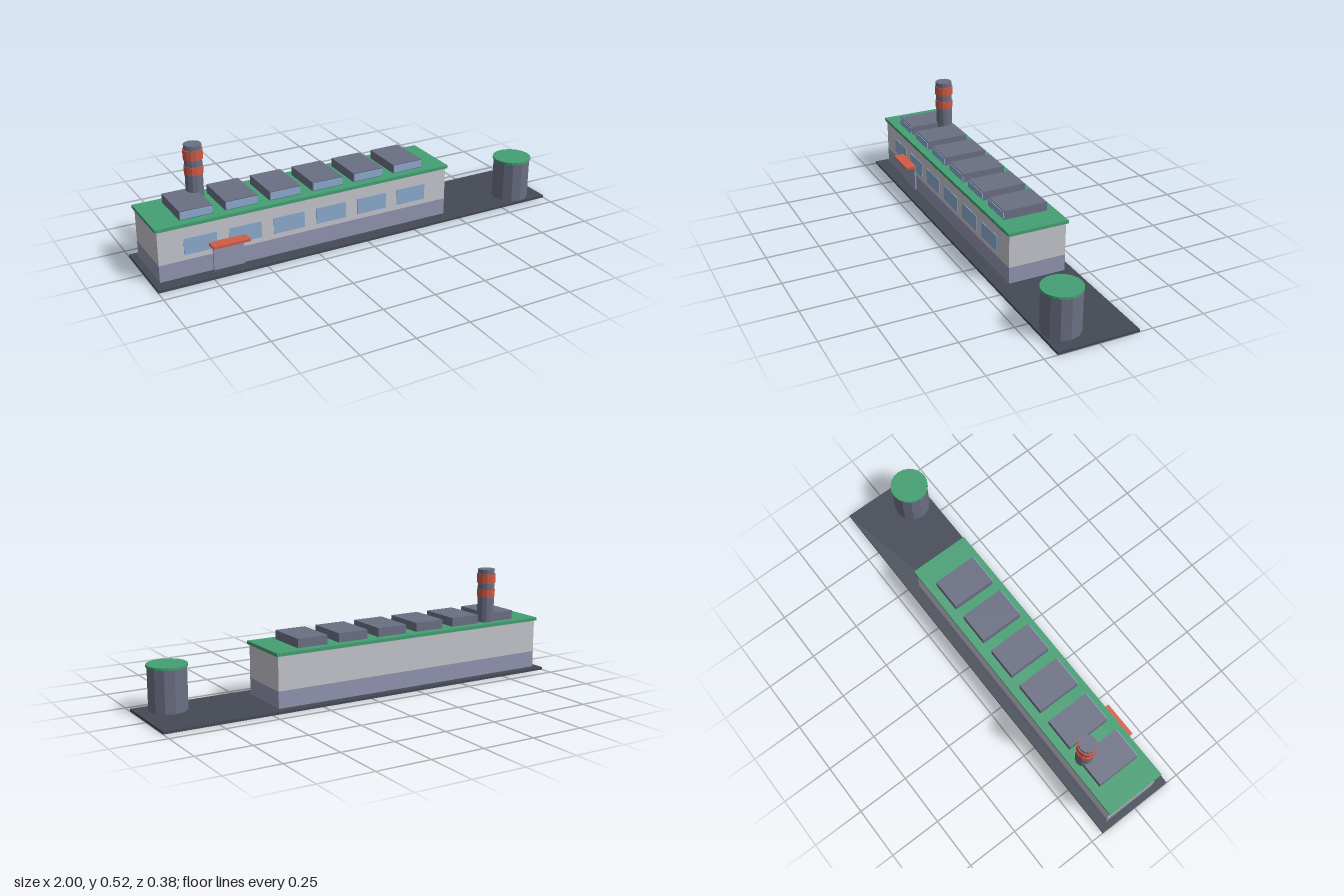
import * as THREE from 'three';

const mat = (name, color) => {
  const m = new THREE.MeshStandardMaterial({ color, flatShading: true });
  m.name = name;
  return m;
};

export function createModel() {
  const group = new THREE.Group();
  const asphalt = mat('asphalt', 0x454955);
  const wall = mat('wall', 0xc3c3cc);
  const plinth = mat('plinth', 0x9094b0);
  const green = mat('green roof', 0x459f73);
  const metal = mat('grey metal', 0x6b6f83);
  const glass = mat('glass', 0x8aaacd);
  const red = mat('red', 0xcf5b47);

  const add = (name, geometry, material, x, y, z) => {
    const mesh = new THREE.Mesh(geometry, material);
    mesh.name = name;
    mesh.position.set(x, y, z);
    group.add(mesh);
  };
  // Box from its extents on each axis
  const box = (name, material, [x0, x1], [y0, y1], [z0, z1]) =>
    add(name, new THREE.BoxGeometry(x1 - x0, y1 - y0, z1 - z0), material,
      (x0 + x1) / 2, (y0 + y1) / 2, (z0 + z1) / 2);
  // Upright faceted cylinder between two heights
  const drum = (name, material, r, [y0, y1], x, z, sides = 12) =>
    add(name, new THREE.CylinderGeometry(r, r, y1 - y0, sides), material, x, (y0 + y1) / 2, z);

  // Ground slab and main hall
  box('groundSlab', asphalt, [-1, 1], [0, 0.012], [-0.189, 0.189]);
  box('hallPlinth', plinth, [-0.97, 0.452], [0.012, 0.09], [-0.15, 0.125]);
  box('hallWall', wall, [-0.97, 0.452], [0.09, 0.246], [-0.15, 0.125]);
  box('roof', green, [-0.979, 0.461], [0.246, 0.261], [-0.158, 0.133]);

  // Windows below, rooflights above
  for (let i = 0; i < 6; i++) {
    const x = -0.78 + i * 0.2085;
    box('window', glass, [x - 0.075, x + 0.075], [0.115, 0.19], [0.122, 0.128]);
    box('rooflight', metal, [x - 0.075, x + 0.075], [0.261, 0.303], [-0.117, 0.093]);
    box('rooflightGlass', glass, [x - 0.073, x + 0.073], [0.266, 0.298], [0.09, 0.097]);
  }

  // Entrance
  box('door', plinth, [-0.727, -0.585], [0.012, 0.136], [0.12, 0.133]);
  box('doorCanopy', red, [-0.744, -0.572], [0.136, 0.147], [0.12, 0.18]);

  // Chimney with red bands
  drum('chimney', metal, 0.04, [0.25, 0.517], -0.712, -0.09);
  drum('chimneyBand', red, 0.043, [0.383, 0.42], -0.712, -0.09);
  drum('chimneyBand', red, 0.0445, [0.451, 0.495], -0.712, -0.09);

  // Storage tank
  drum('tank', metal, 0.087, [0.012, 0.205], 0.86, 0.098);
  drum('tankLid', green, 0.091, [0.205, 0.216], 0.86, 0.098, 20);

  return group;
}
